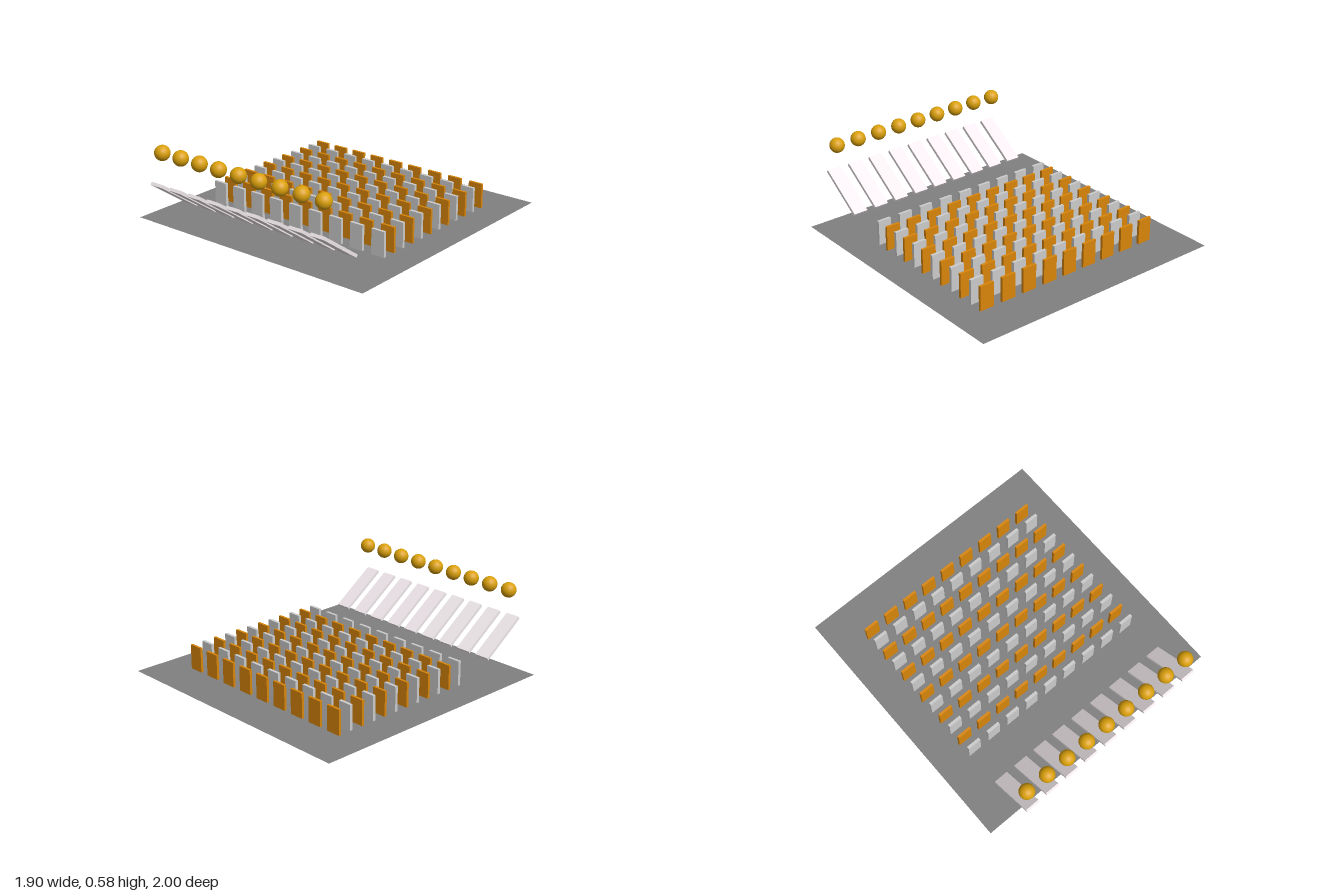
import * as THREE from 'three';

const paint = (color) => new THREE.MeshStandardMaterial({ color });

export function createModel() {
  const model = new THREE.Group();
  const add = (parent, name, geometry, material, x, y, z) => {
    const mesh = new THREE.Mesh(geometry, material);
    mesh.name = name;
    mesh.position.set(x, y, z);
    parent.add(mesh);
    return mesh;
  };

  // Thin flat floor, seen from both sides
  const floorMaterial = paint(0x808080);
  floorMaterial.side = THREE.DoubleSide;
  const floor = add(model, 'floor', new THREE.PlaneGeometry(1.9, 1.9), floorMaterial, 0, 0.001, -0.05);
  floor.rotation.x = -Math.PI / 2;

  const orange = paint(0xd9860b);
  const white = paint(0xdcd8d8);
  const rampWhite = paint(0xf0e8ec);
  const gold = paint(0xdaa00c);

  const height = 0.176;
  const orangeDomino = new THREE.BoxGeometry(0.105, height, 0.018);
  const whiteDomino = new THREE.BoxGeometry(0.1, height, 0.021);
  const rampBoard = new THREE.BoxGeometry(0.105, 0.022, 0.382);
  const ballGeometry = new THREE.SphereGeometry(0.053, 32, 20);

  // Nine lanes: a row of dominoes, a sloping ramp and a ball above it
  const lanes = [-0.67, -0.502, -0.335, -0.169, 0, 0.168, 0.34, 0.511, 0.683];
  lanes.forEach((x, i) => {
    const lane = new THREE.Group();
    lane.name = `lane${i + 1}`;
    model.add(lane);

    // Alternating white and orange dominoes from front to back
    for (let j = 0; j < 12; j++) {
      const z = 0.397 - j * 0.0993;
      if (j % 2 === 0) add(lane, 'whiteDomino', whiteDomino, white, x, height / 2, z);
      else add(lane, 'orangeDomino', orangeDomino, orange, x, height / 2, z);
    }

    const ramp = add(lane, 'ramp', rampBoard, rampWhite, x, 0.217, 0.837);
    ramp.rotation.x = -THREE.MathUtils.degToRad(35);
    add(lane, 'ball', ballGeometry, gold, x, 0.53, 0.932);
  });

  return model;
}
